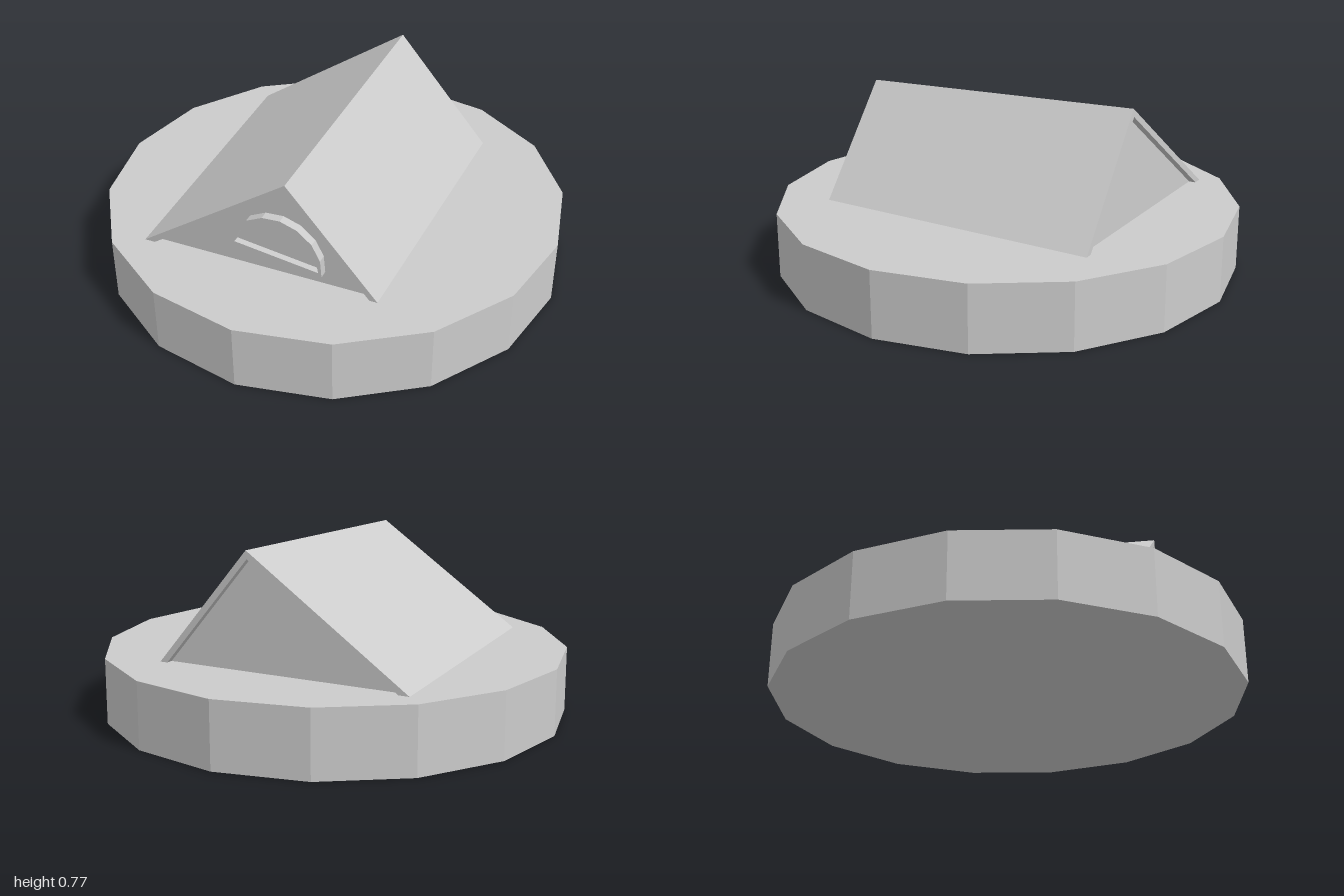
import * as THREE from 'three';

const material = new THREE.MeshStandardMaterial({ color: 0xcccccc, flatShading: true });

function addMesh(parent, name, geometry) {
  const mesh = new THREE.Mesh(geometry, material);
  mesh.name = name;
  parent.add(mesh);
  return mesh;
}

// Extrude a profile between two z positions
function extrude(shape, z0, z1) {
  return new THREE.ExtrudeGeometry(shape, { depth: z1 - z0, bevelEnabled: false })
    .translate(0, 0, z0);
}

function polygon(points) {
  return points.map(([x, y]) => new THREE.Vector2(x, y));
}

// Half-round outline with a flat bottom edge
function halfRound(radius, bottom, segments = 8) {
  const start = Math.asin(bottom / radius);
  return Array.from({ length: segments + 1 }, (_, i) => {
    const a = start + ((Math.PI - 2 * start) * i) / segments;
    return new THREE.Vector2(radius * Math.cos(a), radius * Math.sin(a));
  });
}

export function createModel() {
  const model = new THREE.Group();
  model.name = 'sunkenHouse';

  // Sixteen-sided base disc
  const baseHeight = 0.28;
  addMesh(model, 'base', new THREE.CylinderGeometry(1, 1, baseHeight, 16)
    .translate(0, baseHeight / 2, 0));

  // Tilted house, partly buried; its local origin is the middle of the ridge
  const house = new THREE.Group();
  house.name = 'house';
  house.position.set(0.068, 0.753, 0.013);
  house.rotation.set(0.0275, 0, -0.134);
  model.add(house);

  const slope = THREE.MathUtils.degToRad(42.4);
  const depth = 0.62;
  const halfLength = 0.635;
  const overhang = 0.03;
  const thickness = 0.026;
  const drop = thickness / Math.cos(slope);
  const eave = depth / Math.tan(slope);
  const inner = (depth - drop) / Math.tan(slope);

  // Roof: two slabs joined in a chevron
  addMesh(house, 'roof', extrude(new THREE.Shape(polygon([
    [0, 0], [-eave, -depth], [-inner, -depth], [0, -drop], [inner, -depth], [eave, -depth],
  ])), -halfLength, halfLength));

  // Gable walls, set back under the roof edge at both ends
  const wallZ = halfLength - overhang;
  addMesh(house, 'gableWalls', extrude(new THREE.Shape(polygon([
    [0, -drop], [-inner, -depth], [inner, -depth],
  ])), -wallZ, wallZ));

  // Half-round attic window
  const attic = new THREE.Group();
  attic.name = 'atticWindow';
  attic.position.set(0, -0.373, wallZ);
  house.add(attic);

  const frame = new THREE.Shape(halfRound(0.2, 0));
  frame.holes.push(new THREE.Path(halfRound(0.184, 0.015)));
  addMesh(attic, 'windowFrame', extrude(frame, -0.01, 0.037));
  addMesh(attic, 'windowPane', extrude(new THREE.Shape(halfRound(0.186, 0.013)), -0.01, 0.01));

  return model;
}
